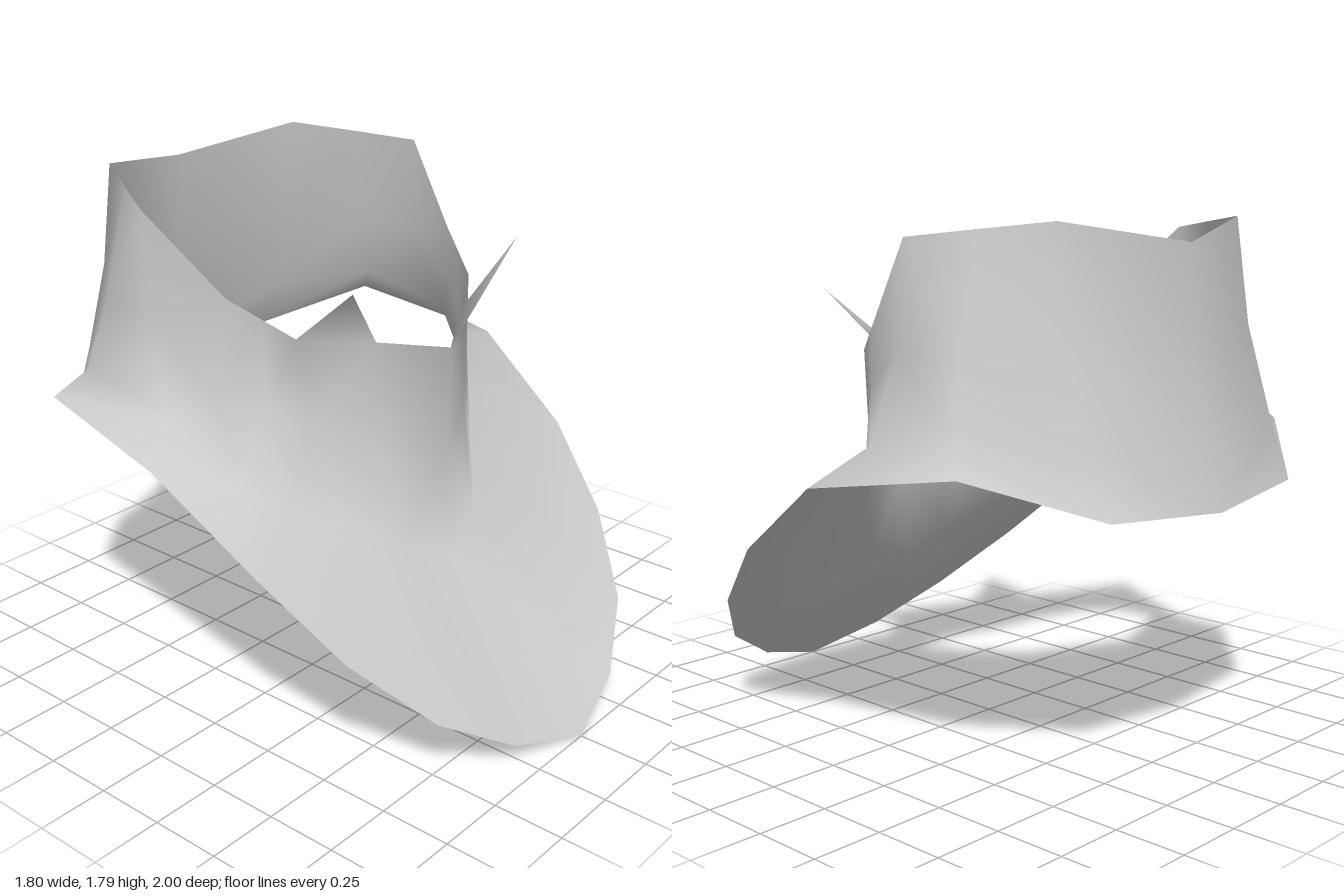
import * as THREE from 'three';

// Left half of the scarf, front centre to back centre.
// Each column runs: top hem, mid neck, neck base, outer hem.
const COLUMNS = [
  [[0, 1.26, 0.41], [0, 0.9, 0.41], [0, 0.5, 0.42], [0, 0, 1]],
  [[0.23, 1.31, 0.28], [0.22, 0.97, 0.31], [0.19, 0.59, 0.39], [0.29, 0.08, 0.93]],
  [[0.46, 1.35, 0.14], [0.42, 1.1, 0.17], [0.36, 0.77, 0.24], [0.54, 0.23, 0.8]],
  [[0.54, 1.403, 0.03], [0.53, 1.2, 0.04], [0.5, 0.94, 0.08], [0.73, 0.45, 0.58]],
  [[0.62, 1.455, -0.08], [0.62, 1.26, -0.07], [0.62, 1.03, -0.04], [0.84, 0.7, 0.31]],
  [[0.69, 1.74, -0.3], [0.7, 1.4, -0.28], [0.71, 1.09, -0.16], [0.9, 0.97, -0.08]],
  [[0.58, 1.765, -0.5], [0.67, 1.4, -0.52], [0.735, 1.16, -0.56], [0.82, 1.06, -0.65]],
  [[0.46, 1.79, -0.71], [0.47, 1.43, -0.76], [0.48, 1.1, -0.86], [0.47, 0.92, -0.94]],
  [[0, 1.72, -0.86], [0, 1.43, -0.88], [0, 1.1, -0.95], [0, 0.89, -1]],
];
// Right side: a shelf at the foot of the neck, then a lower fold.
// Column number -> row number -> point
const RIGHT_FOLDS = {
  2: { 1: [-0.41, 1.08, 0.16], 2: [-0.36, 0.7, 0.27] },
  3: { 0: [-0.525, 1.415, 0.05], 1: [-0.5, 1.11, 0.05], 2: [-0.54, 0.79, 0.19] },
  4: { 0: [-0.59, 1.48, -0.04], 1: [-0.59, 1.12, -0.08], 2: [-0.69, 0.88, 0.08] },
  5: { 2: [-0.72, 1.08, -0.2] },
};

export function createModel() {
  const group = new THREE.Group();
  group.name = 'neckScarf';
  const cloth = new THREE.MeshStandardMaterial({ color: 0xcccccc, side: THREE.DoubleSide });
  cloth.name = 'grey cloth';

  // Close the loop by mirroring the inner columns across x = 0
  const mirrored = COLUMNS
    .map((col, i) => col.map(([x, y, z], r) => RIGHT_FOLDS[i]?.[r] ?? [-x, y, z]))
    .slice(1, -1).reverse();
  const loop = [...COLUMNS, ...mirrored];
  const rows = 4, n = loop.length, index = [];
  for (let i = 0; i < n; i++) {
    for (let r = 0; r < rows - 1; r++) {
      const a = i * rows + r, b = ((i + 1) % n) * rows + r;
      // Mirror the quad diagonals as well
      if (i < n / 2) index.push(a, a + 1, b + 1, a, b + 1, b);
      else index.push(a, a + 1, b, a + 1, b + 1, b);
    }
  }

  // Pointed folds rising from the front of the top hem, joined to the cloth
  const points = [...loop.flat(), [0.44, 1.54, 0.36], [-0.44, 1.54, 0.36]];
  const leftTip = n * rows, rightTip = leftTip + 1;
  index.push(0, rows, leftTip);
  index.push((n - 2) * rows, (n - 1) * rows, rightTip);

  const geometry = new THREE.BufferGeometry();
  geometry.setAttribute('position', new THREE.Float32BufferAttribute(points.flat(), 3));
  geometry.setIndex(index);
  geometry.computeVertexNormals();
  const scarf = new THREE.Mesh(geometry, cloth);
  scarf.name = 'scarfCloth';
  group.add(scarf);
  return group;
}
